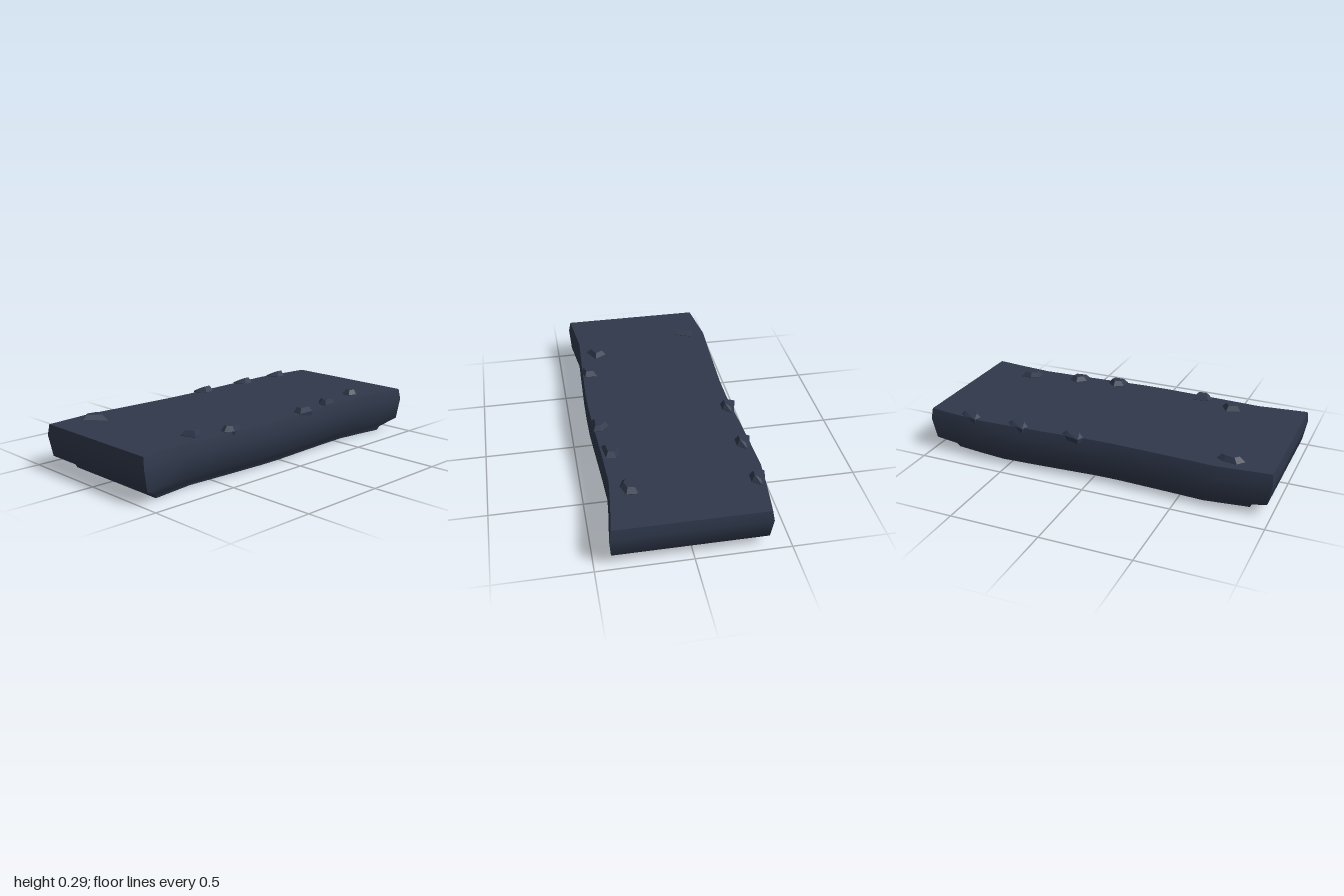
import * as THREE from 'three';
import { toCreasedNormals } from 'three/addons/utils/BufferGeometryUtils.js';
import { ConvexGeometry } from 'three/addons/geometries/ConvexGeometry.js';

const slate = new THREE.MeshStandardMaterial({ color: 0x2f384b });
slate.name = 'slate';

// Slab levels from bottom to top: y, half width, half length
const LEVELS = [
  [0, 0.333, 0.875], [0.022, 0.342, 0.885], [0.072, 0.398, 0.977],
  [0.19, 0.407, 1], [0.25, 0.396, 0.994],
];
// Sideways sway of the slab along its length: z, x offset
const SWAY = [
  [1, 0.015], [0.72, -0.015], [0.5, -0.005], [0.15, 0.008], [0, 0.007],
  [-0.4, -0.013], [-0.64, -0.022], [-0.82, -0.006], [-1, 0.015],
];

function slabGeometry() {
  const n = SWAY.length, ring = n * 2;
  const positions = [], index = [];
  const quad = (a, b, c, d) => index.push(a, b, c, a, c, d);

  // Each ring runs up the left side to the back, then returns down the right side
  for (const [y, hw, hl] of LEVELS) {
    for (const [z, x] of SWAY) positions.push(x + hw, y, z * hl);
    for (const [z, x] of [...SWAY].reverse()) positions.push(x - hw, y, z * hl);
  }
  // Side walls
  for (let i = 0; i < LEVELS.length - 1; i++) {
    for (let k = 0; k < ring; k++) {
      const a = i * ring + k, b = i * ring + (k + 1) % ring;
      quad(a, b, b + ring, a + ring);
    }
  }
  // Underside and top
  const top = (LEVELS.length - 1) * ring;
  for (let j = 0; j < n - 1; j++) {
    const l = ring - 1 - j;
    quad(j, l, l - 1, j + 1);
    quad(top + j, top + j + 1, top + l - 1, top + l);
  }
  const g = new THREE.BufferGeometry();
  g.setAttribute('position', new THREE.Float32BufferAttribute(positions, 3));
  g.setIndex(index);
  return toCreasedNormals(g, 0.9);
}

// Faceted stone: outline in x, z tapering to a smaller flat or tilted top
function stoneGeometry(outline, height, tilt) {
  const n = outline.length;
  const cx = outline.reduce((s, p) => s + p[0], 0) / n;
  const cz = outline.reduce((s, p) => s + p[1], 0) / n;
  const points = [];
  for (const [x, z] of outline) {
    const dx = x - cx, dz = z - cz;
    points.push(
      new THREE.Vector3(cx + dx * 0.92, 0.225, cz + dz * 0.92),
      new THREE.Vector3(x, 0.252, z),
      new THREE.Vector3(cx + dx * 0.6, height + dx * tilt, cz + dz * 0.6),
    );
  }
  return new ConvexGeometry(points);
}

export function createModel() {
  const model = new THREE.Group();
  model.name = 'stoneSlab';
  const add = (name, geometry) => {
    const mesh = new THREE.Mesh(geometry, slate);
    mesh.name = name;
    model.add(mesh);
  };
  add('slab', slabGeometry());

  // Three matching stones overhanging the right edge
  const edge = [[0, -0.065], [0.045, -0.03], [0.045, 0.025], [-0.005, 0.06], [-0.043, 0.045], [-0.022, -0.035]];
  [-0.735, -0.435, -0.1].forEach((z, i) => {
    add('rightStone' + (i + 1), stoneGeometry(edge.map(([x, dz]) => [x - 0.38, z + dz]), 0.274, 0.28));
  });

  // Broad stone at the front right corner
  add('cornerStone', stoneGeometry(
    [[-0.32, 0.685], [-0.225, 0.73], [-0.315, 0.835], [-0.355, 0.8], [-0.342, 0.72]], 0.278, 0));

  // Five separate stones along the left side
  const leftStones = [
    [[0.24, -0.755], [0.3, -0.75], [0.325, -0.685], [0.305, -0.64], [0.255, -0.645], [0.235, -0.69]],
    [[0.31, -0.455], [0.362, -0.445], [0.375, -0.345], [0.325, -0.35], [0.28, -0.4]],
    [[0.31, -0.165], [0.36, -0.215], [0.4, -0.205], [0.4, -0.105], [0.345, -0.112]],
    [[0.315, 0.33], [0.385, 0.335], [0.403, 0.4], [0.37, 0.44], [0.335, 0.43]],
    [[0.235, 0.565], [0.3, 0.525], [0.345, 0.61], [0.265, 0.64]],
  ];
  leftStones.forEach((outline, i) => add('leftStone' + (i + 1), stoneGeometry(outline, 0.278, 0)));
  return model;
}
